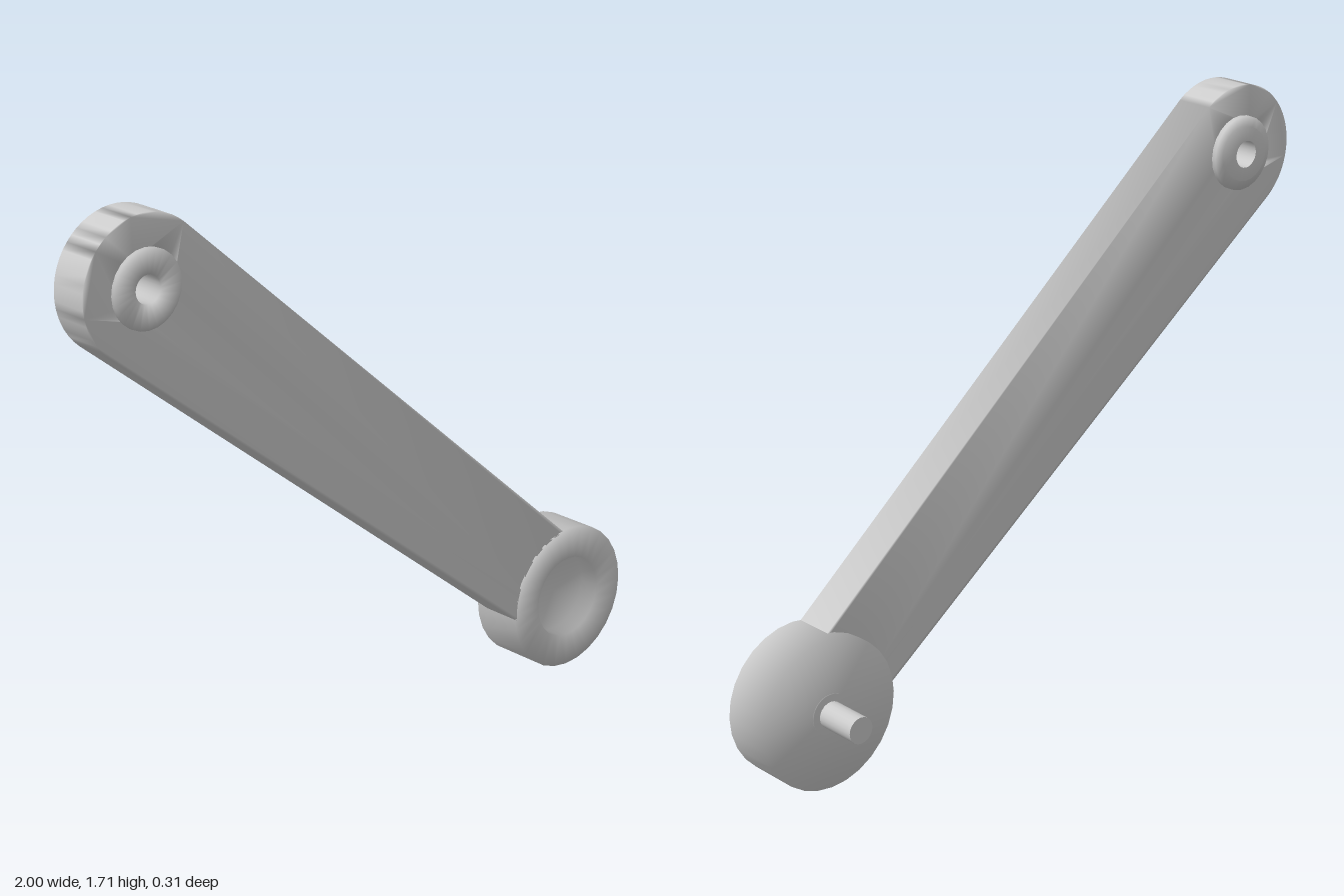
import * as THREE from 'three';
import { mergeVertices } from 'three/addons/utils/BufferGeometryUtils.js';

const TOP = new THREE.Vector2(-0.8, 1.515);
const BOTTOM = new THREE.Vector2(0.775, 0.225);

export function createModel() {
  const group = new THREE.Group();
  const material = new THREE.MeshStandardMaterial({ color: 0xcccccc });

  const add = (name, geometry, at) => {
    const mesh = new THREE.Mesh(geometry, material);
    mesh.name = name;
    mesh.position.set(at.x, at.y, 0);
    group.add(mesh);
    return mesh;
  };

  // Turned part about the z axis; profile of [radius, z] runs from back to front
  const turned = (profile, sides) =>
    new THREE.LatheGeometry(profile.map(([r, z]) => new THREE.Vector2(r, z)), sides).rotateX(Math.PI / 2);

  // Tapered arm, drawn along its own axis, with a bore at the top and a hollow end hugging the boss
  const axis = BOTTOM.clone().sub(TOP);
  const outline = new THREE.Shape();
  outline.absarc(0, 0, 0.2, Math.PI / 2, Math.PI * 1.5, false);
  outline.absarc(axis.length(), 0, 0.215, Math.PI + 0.78, Math.PI - 0.78, true);
  outline.closePath();
  const bore = new THREE.Path();
  bore.absarc(0, 0, 0.09, 0, Math.PI * 2, true);
  outline.holes.push(bore);
  let armGeometry = new THREE.ExtrudeGeometry(outline, { depth: 0.12, bevelEnabled: false, curveSegments: 14 });
  armGeometry.deleteAttribute('normal');
  armGeometry.deleteAttribute('uv');
  armGeometry = mergeVertices(armGeometry, 1e-4);
  armGeometry.computeVertexNormals(); // soft shading around the rim
  const arm = add('arm', armGeometry, TOP);
  arm.position.z = 0.02;
  arm.rotation.z = Math.atan2(axis.y, axis.x);

  // Pivot bushing through the top of the arm, stepped at the back
  add('pivotBushing', turned([
    [0.04, -0.01], [0.08, -0.01], [0.08, 0.006], [0.11, 0.006],
    [0.11, 0.15], [0.04, 0.15], [0.04, -0.01],
  ], 24), TOP);

  // Round boss with a recess in its front
  add('boss', turned([
    [0, -0.02], [0.222, -0.02], [0.222, 0.14], [0.125, 0.14], [0.125, 0.08], [0, 0.08],
  ], 28), BOTTOM);

  // Pin and its thin collar at the back of the boss
  add('pinCollar', turned([[0, -0.024], [0.06, -0.024], [0.06, -0.015]], 24), BOTTOM);
  const pin = add('pin', new THREE.CylinderGeometry(0.039, 0.039, 0.14, 20).rotateX(Math.PI / 2), BOTTOM);
  pin.position.z = -0.085;

  return group;
}
